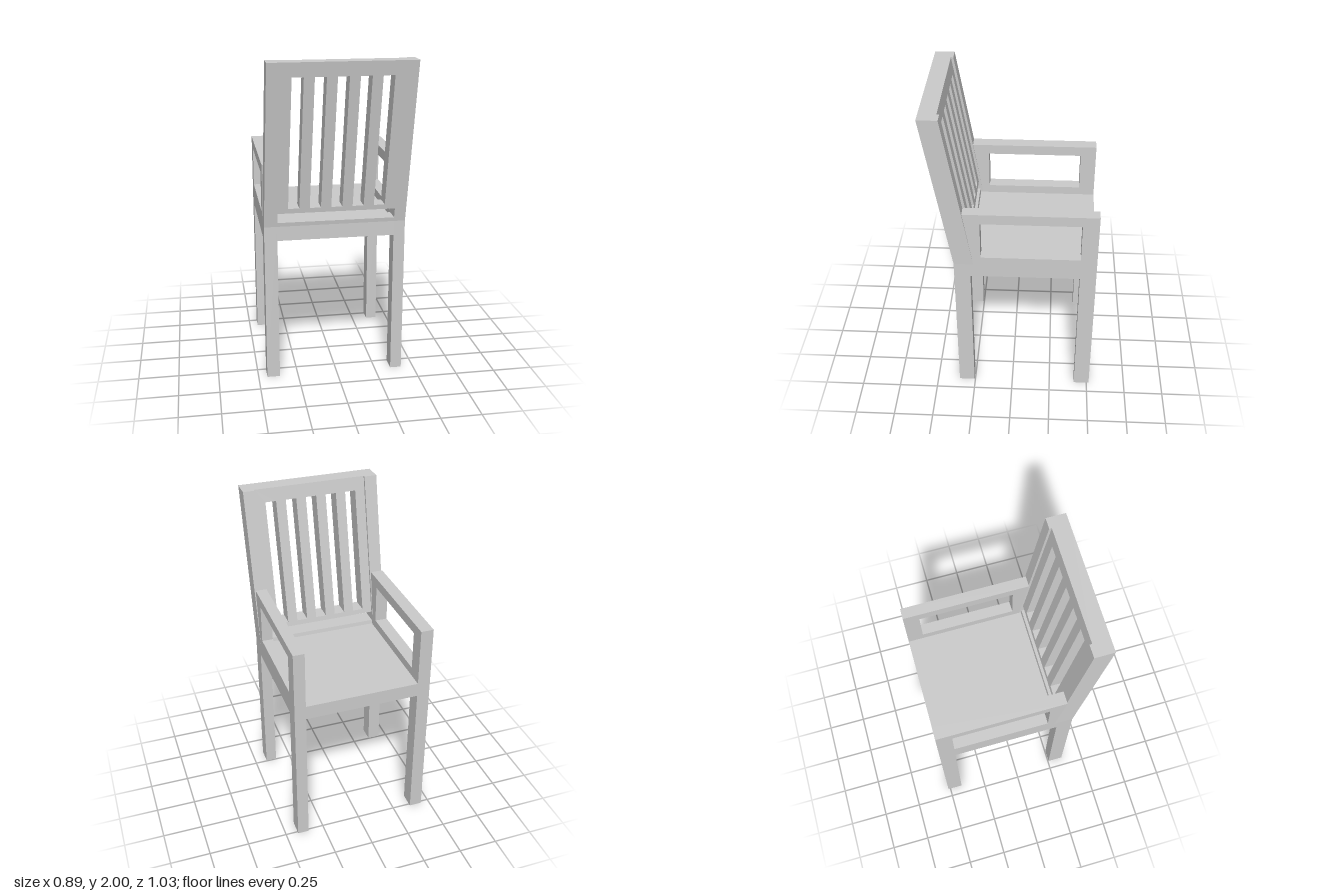
import * as THREE from 'three';

const LEAN = 0.16;    // backward slope of the backrest
const SKEW = 0.0205;  // slight sideways slope of the backrest
const SIDES = { right: [-0.4455, -0.3655], left: [0.352, 0.4225] };

const material = new THREE.MeshStandardMaterial({ color: 0xcccccc, flatShading: true });

function polygon(points, Type = THREE.Shape) {
  return new Type(points.map(([a, b]) => new THREE.Vector2(a, b)));
}

function rect(x0, y0, x1, y1, Type) {
  return polygon([[x0, y0], [x1, y0], [x1, y1], [x0, y1]], Type);
}

// Extrude a (z, y) side profile from x0 to x1
function extrudeSide(shape, x0, x1) {
  const g = new THREE.ExtrudeGeometry(shape, { depth: x1 - x0, bevelEnabled: false });
  return g.rotateY(-Math.PI / 2).translate(x1, 0, 0);
}

// Extrude an (x, y) outline from z0 to z1
function extrudeFront(shape, z0, z1) {
  return new THREE.ExtrudeGeometry(shape, { depth: z1 - z0, bevelEnabled: false }).translate(0, 0, z0);
}

// Tilt everything above seat level backward and slightly sideways
function tilt(geometry) {
  const p = geometry.attributes.position;
  for (let i = 0; i < p.count; i++) {
    const rise = p.getY(i) - 1;
    p.setX(i, p.getX(i) + SKEW * rise);
    p.setZ(i, p.getZ(i) + LEAN * rise);
  }
  geometry.computeVertexNormals();
  return geometry;
}

export function createModel() {
  const chair = new THREE.Group();
  chair.name = 'armchair';
  const add = (name, geometry) => {
    const mesh = new THREE.Mesh(geometry, material);
    mesh.name = name;
    chair.add(mesh);
  };

  // Legs, side rail and armrest in one frame per side, with the tilted post above
  for (const [side, [x0, x1]] of Object.entries(SIDES)) {
    const frame = polygon([
      [-0.515, 0], [-0.415, 0], [-0.415, 0.91], [0.255, 0.91], [0.255, 0],
      [0.355, 0], [0.355, 1], [0.235, 1], [0.294, 1.37], [-0.515, 1.37],
    ]);
    frame.holes.push(rect(-0.415, 1.055, 0.19, 1.305, THREE.Path));
    add(side + 'SideFrame', extrudeSide(frame, x0, x1));
    add(side + 'BackPost', tilt(extrudeFront(rect(x0, 1, x1, 2), 0.235, 0.355)));
  }

  // Seat between the side frames
  const inner0 = SIDES.right[1], inner1 = SIDES.left[0];
  add('seat', extrudeFront(rect(inner0, 0.91, inner1, 1), -0.515, 0.355));
  add('lowerBackRail', tilt(extrudeFront(rect(inner0, 1, inner1, 1.025), 0.25, 0.355)));

  // Backrest panel with five upright slots
  const panel = rect(inner0, 1.085, inner1, 2);
  for (let i = -2; i <= 2; i++) {
    const x = -0.008 + i * 0.1304;
    panel.holes.push(rect(x - 0.034, 1.115, x + 0.034, 1.915, THREE.Path));
  }
  add('slattedBackrest', tilt(extrudeFront(panel, 0.25, 0.355)));

  return chair;
}
